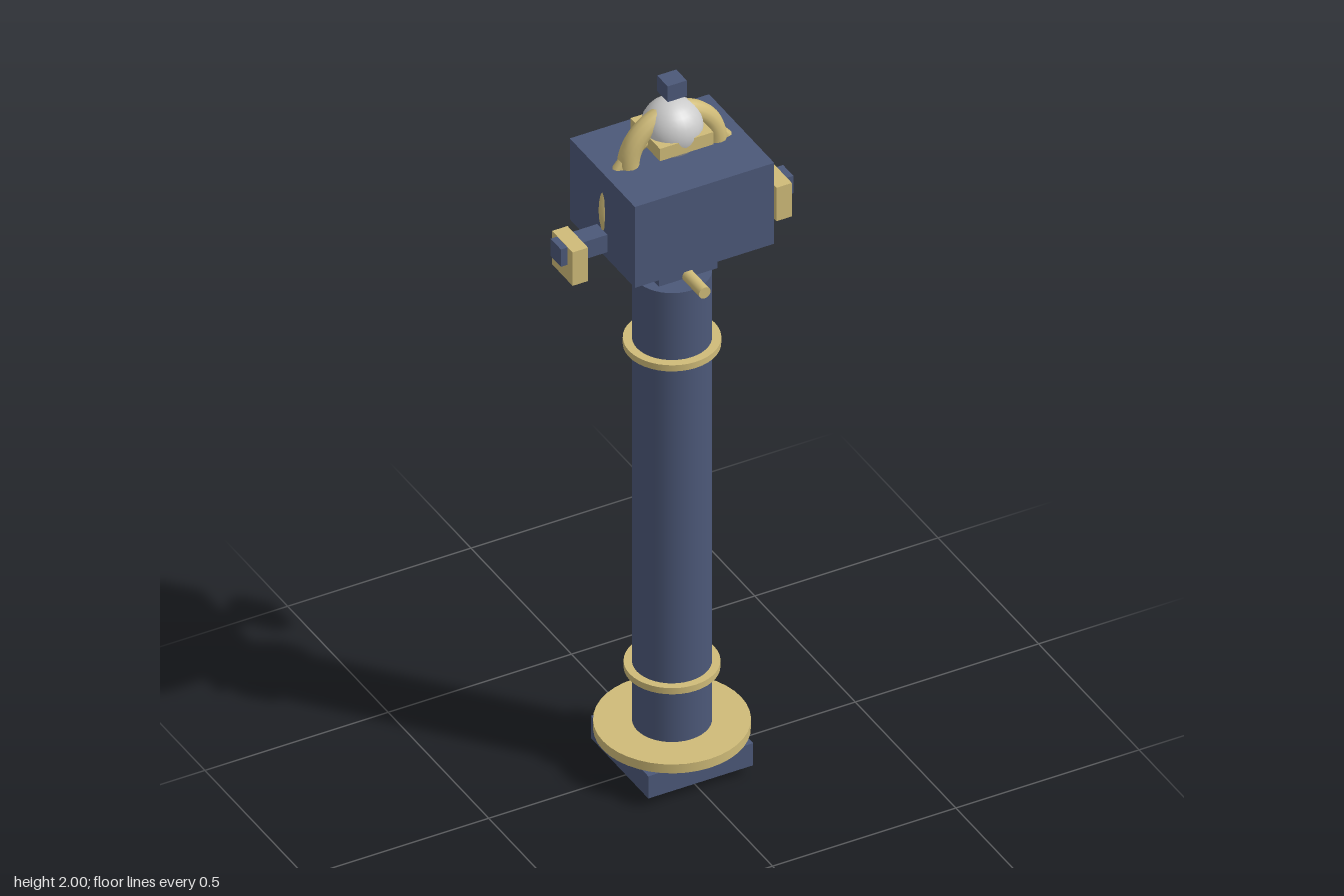
import * as THREE from 'three';

export function createModel() {
  const model = new THREE.Group();
  const navy = new THREE.MeshStandardMaterial({ color: 0x4c5878 });
  const gold = new THREE.MeshStandardMaterial({ color: 0xcfbb78 });
  const grey = new THREE.MeshStandardMaterial({ color: 0xcccccc });

  const add = (name, geometry, material, x = 0, y = 0, z = 0) => {
    const mesh = new THREE.Mesh(geometry, material);
    mesh.name = name;
    mesh.position.set(x, y, z);
    model.add(mesh);
    return mesh;
  };
  // Box and upright cylinder given by their bottom and top heights
  const box = (name, mat, w, d, y0, y1, x = 0) =>
    add(name, new THREE.BoxGeometry(w, y1 - y0, d), mat, x, (y0 + y1) / 2);
  const drum = (name, mat, r, y0, y1) =>
    add(name, new THREE.CylinderGeometry(r, r, y1 - y0, 40), mat, 0, (y0 + y1) / 2);

  // Column and foot
  drum('shaft', navy, 0.096, 0, 1.437);
  box('basePlinth', navy, 0.286, 0.286, 0.025, 0.09);
  drum('baseDisc', gold, 0.189, 0.095, 0.121);
  drum('lowerBand', gold, 0.116, 0.275, 0.293);
  drum('upperBand', gold, 0.118, 1.223, 1.241);

  // Stepped neck with a forward peg
  box('neckBlock', navy, 0.16, 0.16, 1.465, 1.517);
  box('neckPlate', navy, 0.208, 0.186, 1.517, 1.55);
  const peg = add('peg', new THREE.CylinderGeometry(0.016, 0.016, 0.163, 16), gold, 0, 1.471, 0.0815);
  peg.rotation.x = Math.PI / 2;

  // Head, crossbar and hanging end blocks
  box('head', navy, 0.38, 0.324, 1.55, 1.787);
  box('crossbar', navy, 0.634, 0.051, 1.57, 1.621);
  for (const s of [-1, 1]) {
    box(s > 0 ? 'leftEndBlock' : 'rightEndBlock', gold, 0.042, 0.102, 1.524, 1.622, s * 0.278);
  }

  // Thin ring running through the head, and the arch above it
  add('headRing', new THREE.TorusGeometry(0.184, 0.015, 8, 48), gold, 0, 1.672);
  add('arch', new THREE.TorusGeometry(0.12, 0.027, 12, 32, Math.PI), gold, 0, 1.782);

  // Ball in its square collar, with a floating finial
  add('ball', new THREE.SphereGeometry(0.076, 24, 16), grey, 0, 1.86);
  box('ballCollar', gold, 0.146, 0.146, 1.826, 1.862);
  box('finial', navy, 0.052, 0.052, 1.954, 2.0);

  return model;
}
